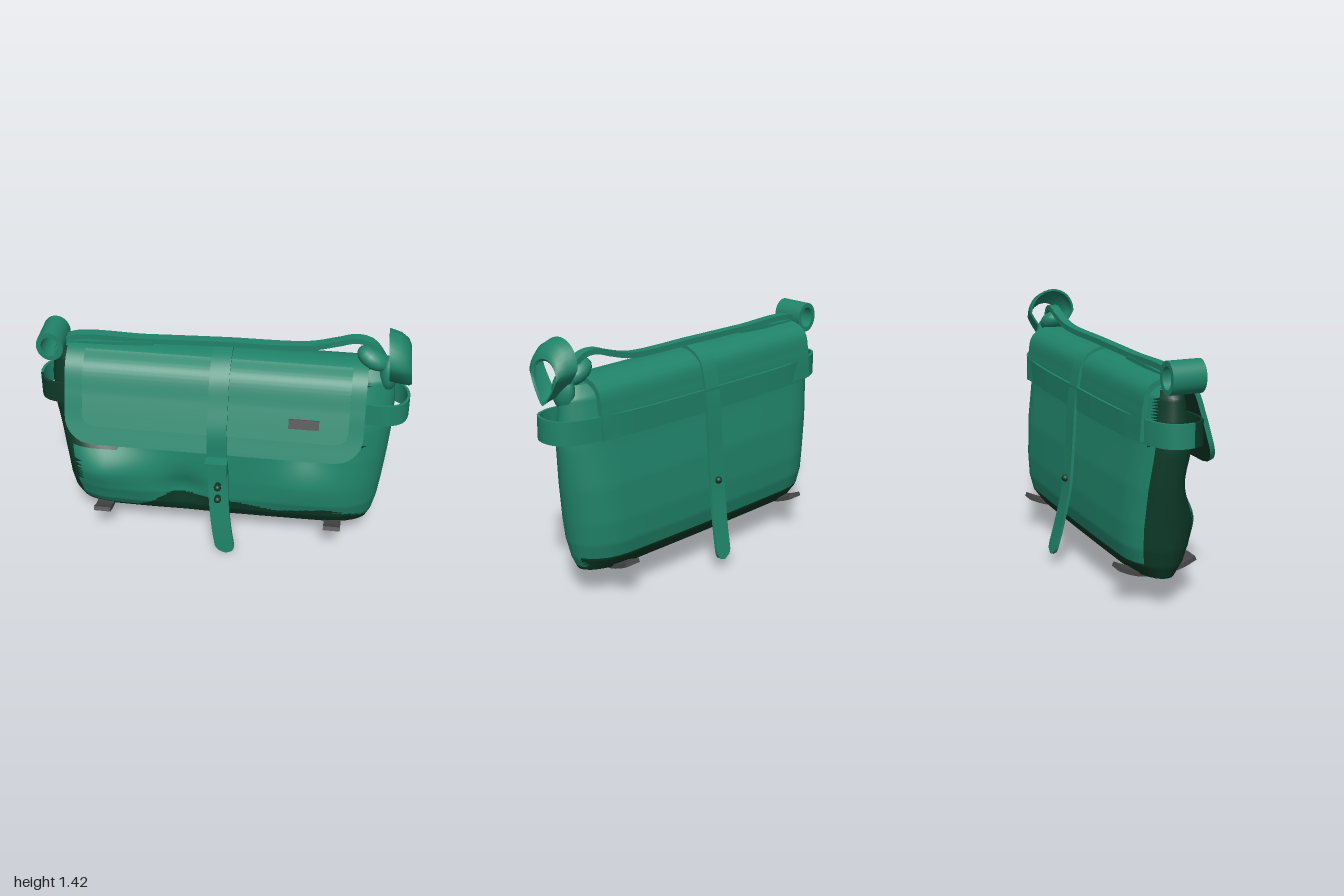
import * as THREE from 'three';
import { toCreasedNormals } from 'three/addons/utils/BufferGeometryUtils.js';

const green = new THREE.MeshStandardMaterial({ color: 0x20846a, side: THREE.DoubleSide });
green.name = 'green canvas';
const dark = new THREE.MeshStandardMaterial({ color: 0x0d3a29, side: THREE.DoubleSide });
dark.name = 'dark green canvas';
const grey = new THREE.MeshStandardMaterial({ color: 0x484848, side: THREE.DoubleSide });
grey.name = 'dark grey trim';

const V = (x, y, z) => new THREE.Vector3(x, y, z);

// Skin a list of equal-length rings (counterclockwise about the path)
function loft(rings, { caps = true, crease = 0.7 } = {}) {
  const n = rings[0].length, pos = [], idx = [];
  rings.forEach(r => r.forEach(p => pos.push(p.x, p.y, p.z)));
  for (let i = 0; i < rings.length - 1; i++) {
    for (let j = 0; j < n; j++) {
      const a = i * n + j, b = i * n + (j + 1) % n;
      idx.push(a, b, b + n, a, b + n, a + n);
    }
  }
  if (caps) {
    [0, rings.length - 1].forEach((r, end) => {
      const c = rings[r].reduce((s, p) => s.add(p), V(0, 0, 0)).divideScalar(n);
      const k = pos.length / 3;
      pos.push(c.x, c.y, c.z);
      for (let j = 0; j < n; j++) {
        const a = r * n + j, b = r * n + (j + 1) % n;
        if (end) idx.push(k, a, b); else idx.push(k, b, a);
      }
    });
  }
  const g = new THREE.BufferGeometry();
  g.setAttribute('position', new THREE.Float32BufferAttribute(pos, 3));
  g.setIndex(idx);
  return toCreasedNormals(g, crease);
}

// Sort faces into two material groups; isDark(centre, normal) picks the second
function twoTone(geometry, isDark) {
  const p = geometry.attributes.position, lists = [[], []];
  const tri = new THREE.Triangle(), c = V(0, 0, 0), n = V(0, 0, 0);
  for (let i = 0; i < p.count; i += 3) {
    tri.setFromAttributeAndIndices(p, i, i + 1, i + 2);
    tri.getMidpoint(c);
    tri.getNormal(n);
    lists[isDark(c, n) ? 1 : 0].push(i, i + 1, i + 2);
  }
  geometry.setIndex([...lists[0], ...lists[1]]);
  geometry.addGroup(0, lists[0].length, 0);
  geometry.addGroup(lists[0].length, lists[1].length, 1);
  return geometry;
}

// Flat band along a curve; round = corner radius at its far end
function ribbon(points, across, width, thick, { round = 0, closed = false, steps = 60 } = {}) {
  const curve = new THREE.CatmullRomCurve3(points.map(p => V(...p)), closed);
  const length = curve.getLength(), rings = [];
  for (let i = 0; i <= steps; i++) {
    const t = i / steps, p = curve.getPointAt(t);
    const normal = curve.getTangentAt(t).cross(across).normalize();
    const d = (1 - t) * length;
    let h = width / 2;
    if (d < round) h += -round + Math.sqrt(Math.max(0, round ** 2 - (round - d) ** 2));
    h = Math.max(h, 0.006);
    rings.push([[1, 1], [-1, 1], [-1, -1], [1, -1]].map(([w, m]) =>
      p.clone().addScaledVector(across, w * h).addScaledVector(normal, m * thick / 2)));
  }
  return loft(rings);
}

// Height of the dark base along the front, from x, y pairs
const baseLine = [[-1, 0.19], [-0.47, 0.19], [-0.28, 0.33], [0.08, 0.31], [0.32, 0.26], [0.6, 0.3], [0.75, 0.25], [0.83, 0.19], [1, 0.19]];
function baseHeight(x) {
  const i = Math.max(1, baseLine.findIndex(p => p[0] >= x));
  const [x0, y0] = baseLine[i - 1], [x1, y1] = baseLine[i];
  return y0 + (y1 - y0) * (x - x0) / (x1 - x0);
}

// Soft bag body: stadium sections stacked upward, with sagging front
function bodyGeometry() {
  // y, left end, right end, back, front
  const rows = [
    [0.147, -0.76, 0.76, -0.06, 0.06], [0.17, -0.83, 0.82, -0.12, 0.11],
    [0.24, -0.862, 0.85, -0.172, 0.155], [0.33, -0.88, 0.87, -0.193, 0.18],
    [0.45, -0.89, 0.885, -0.196, 0.185], [0.65, -0.915, 0.905, -0.183, 0.178],
    [0.85, -0.94, 0.92, -0.15, 0.16], [1.0, -0.94, 0.92, -0.13, 0.13],
    [1.12, -0.925, 0.91, -0.105, 0.1], [1.18, -0.87, 0.86, -0.06, 0.06],
  ];
  // x, y, radius x, radius y, depth of each crease or bulge
  const dents = [[-0.62, 0.68, 0.28, 0.12, 0.1], [0.48, 0.7, 0.16, 0.15, 0.06],
    [-0.2, 0.36, 0.12, 0.12, 0.045], [-0.72, 0.45, 0.2, 0.1, -0.03], [0.5, 0.45, 0.2, 0.15, -0.015]];
  const rings = [], N = 60, M = 12, e = 0.23, sub = 8;
  const ring = ([y, x0, x1, zb, zf]) => {
    const pts = [];
    const add = (x, s) => {
      const u = x / 0.95;
      let z = (s > 0 ? zf : -zb) * s * (1 - 0.1 * u * u);
      if (s > 0) {
        for (const [cx, cy, rx, ry, d] of dents) {
          z -= s * d * Math.exp(-(((x - cx) / rx) ** 2) - ((y - cy) / ry) ** 2);
        }
      }
      pts.push(V(x, y, z));
    };
    for (let i = 0; i <= M; i++) {
      const a = Math.PI * (i / M - 0.5);
      add(x1 - e + e * Math.cos(a), -Math.sin(a));
    }
    for (let i = 1; i < N; i++) add(x1 - e + (x0 - x1 + 2 * e) * i / N, -1);
    for (let i = 0; i <= M; i++) {
      const a = Math.PI * (i / M + 0.5);
      add(x0 + e + e * Math.cos(a), -Math.sin(a));
    }
    for (let i = 1; i < N; i++) add(x0 + e + (x1 - x0 - 2 * e) * i / N, 1);
    return pts;
  };
  for (let i = 0; i < rows.length - 1; i++) {
    for (let k = 0; k < sub; k++) {
      rings.push(ring(rows[i].map((v, c) => v + (rows[i + 1][c] - v) * k / sub)));
    }
  }
  rings.push(ring(rows[rows.length - 1]));

  // Dark base, left gusset and the hollows under the flap
  return twoTone(loft(rings), (c, n) => {
    const front = c.z > 0.02;
    const base = front ? baseHeight(c.x) : c.z < -0.05 ? 0.25 : 0.19;
    const hollow = front && ((c.y > 0.74 && c.x < 0.76)
      || (c.x < -0.36 && c.y > 0.57 + 0.6 * Math.max(0, c.x + 0.6))
      || c.y > 0.65 + Math.max(0, Math.abs(c.x - 0.49) - 0.05) * 1.5 && c.x < 0.7 && c.x > 0.2);
    return c.y < base || hollow || (c.x < -0.8 && n.x < -0.55) || (c.x < -0.84 && c.y > 0.88);
  });
}

// Flared teardrop loop standing at the right end
function teardropGeometry() {
  const drop = (x, cy, cz, r, tip) => Array.from({ length: 32 }, (_, i) => {
    const a = i / 32 * Math.PI * 2, c = Math.cos(a), s = Math.sin(a);
    return V(x + 0.012 * (1 - c), cy + c * (c < 0 ? cy - tip : r), cz + r * s * (c < 0 ? 1 + 0.55 * c : 1));
  });
  const outer = [drop(0.86, 1.28, 0.045, 0.14, 1.12), drop(0.92, 1.27, 0.045, 0.132, 1.11),
    drop(0.96, 1.255, 0.04, 0.115, 1.1), drop(0.976, 1.235, 0.028, 0.098, 1.1)];
  const inner = [drop(0.968, 1.235, 0.028, 0.086, 1.12), drop(0.915, 1.27, 0.045, 0.12, 1.13),
    drop(0.86, 1.28, 0.045, 0.128, 1.135)];
  return loft([...outer, ...inner, outer[0]], { caps: false });
}

export function createModel() {
  const bag = new THREE.Group();
  bag.name = 'messengerBag';
  const X = V(1, 0, 0), Y = V(0, 1, 0), Z = V(0, 0, 1), both = [green, dark];
  const add = (name, geometry, material = green, at = [0, 0, 0]) => {
    const mesh = new THREE.Mesh(geometry, material);
    mesh.name = name;
    mesh.position.set(...at);
    bag.add(mesh);
    return mesh;
  };

  add('body', bodyGeometry(), both);

  // Flap with dark underside, and the raised panel on it
  const flap = ribbon([[-0.03, 0.9, -0.146], [-0.03, 1.05, -0.134], [-0.03, 1.15, -0.112], [-0.03, 1.192, -0.05],
    [-0.03, 1.192, 0.06], [-0.03, 1.14, 0.135], [-0.03, 1.0, 0.19], [-0.03, 0.85, 0.235], [-0.03, 0.725, 0.28]],
  X, 1.6, 0.028, { round: 0.15, steps: 80 });
  add('flap', twoTone(flap, (c, n) => c.z > 0.1 && n.z < -0.2), both);
  add('flapPanel', ribbon([[-0.02, 1.195, 0.07], [-0.02, 1.145, 0.152], [-0.02, 1.0, 0.214], [-0.02, 0.845, 0.275]],
    X, 1.42, 0.024, { round: 0.07 }));
  const label = add('label', new THREE.BoxGeometry(0.16, 0.052, 0.009), grey, [0.455, 0.943, 0.253]);
  label.rotation.x = -0.36;

  // Belt round the ends and back
  const belt = ribbon([[0.68, 0.965, 0.13], [0.88, 0.965, 0.148], [0.965, 0.965, 0.11], [0.992, 0.965, 0.02],
    [0.96, 0.965, -0.065], [0.87, 0.965, -0.115], [0.7, 0.965, -0.148], [0.5, 0.96, -0.162], [0, 0.955, -0.167],
    [-0.5, 0.95, -0.162], [-0.7, 0.95, -0.15], [-0.88, 0.95, -0.115], [-0.97, 0.95, -0.06], [-0.992, 0.95, 0.03],
    [-0.96, 0.95, 0.11], [-0.85, 0.95, 0.14], [-0.68, 0.95, 0.12]], Y, 0.125, 0.014, { steps: 100 });
  add('belt', twoTone(belt, c => c.x < -0.6 && c.z > 0.05), both);

  // Centre strap over the top and down the back
  const strap = ribbon([[0, 0.72, 0.294], [0, 0.85, 0.288], [0, 1.0, 0.232], [0, 1.14, 0.17], [0, 1.21, 0.08],
    [0, 1.222, -0.03], [0, 1.17, -0.12], [0, 1.05, -0.157], [0, 0.9, -0.178], [0, 0.65, -0.195], [0, 0.45, -0.213],
    [0.015, 0.25, -0.25], [0.03, 0.06, -0.295]], X, 0.105, 0.016, { round: 0.052, steps: 90 });
  add('centreStrap', twoTone(strap, (c, n) => c.z < -0.15 && n.z > 0.5), both);

  // Front tongue with dark back, buckle and studs
  const tongue = ribbon([[0, 0.66, 0.24], [0, 0.5, 0.23], [0.005, 0.35, 0.238], [0.02, 0.18, 0.25],
    [0.045, 0.003, 0.255]], X, 0.11, 0.018, { round: 0.055 });
  add('frontTongue', twoTone(tongue, (c, n) => n.z < -0.5), both);
  add('buckle', new THREE.BoxGeometry(0.12, 0.09, 0.06), green, [-0.005, 0.617, 0.266]);
  const stud = new THREE.SphereGeometry(0.02, 16, 10);
  for (const [y, z] of [[0.48, 0.268], [0.395, 0.268], [0.5, -0.222]]) {
    add('stud', stud, dark, [0, y, z]);
    const post = add('studPost', new THREE.CylinderGeometry(0.016, 0.016, 0.04, 12), dark, [0, y, z - Math.sign(z) * 0.018]);
    post.rotation.x = Math.PI / 2;
  }

  // Carrying strap along the top, with its lower layer, knot and tail
  add('carryStrap', ribbon([[-0.9, 1.16, 0.03], [-0.83, 1.23, 0.01], [-0.4, 1.243, 0], [0, 1.252, -0.01],
    [0.45, 1.262, -0.015], [0.6, 1.3, -0.015], [0.7, 1.33, -0.01], [0.78, 1.315, 0], [0.84, 1.24, 0.01],
    [0.89, 1.13, 0.02]], Z, 0.05, 0.03));
  add('strapUnderlay', ribbon([[-0.83, 1.21, 0.01], [-0.6, 1.22, 0.005], [-0.38, 1.232, 0]], Z, 0.06, 0.02, { steps: 12 }));
  const knot = add('strapKnot', new THREE.SphereGeometry(1, 16, 12), green, [0.79, 1.235, 0.015]);
  knot.scale.set(0.095, 0.055, 0.07);
  knot.rotation.z = -0.5;
  add('knotTail', new THREE.SphereGeometry(1, 16, 12), green, [0.875, 1.15, 0.015]).scale.set(0.05, 0.1, 0.07);

  // End loops
  add('rightLoop', teardropGeometry());
  const circle = Array.from({ length: 10 }, (_, i) => {
    const a = i / 10 * Math.PI * 2;
    return [-0.915 + 0.06 * Math.cos(a), 1.225 + 0.072 * Math.sin(a), 0.03];
  });
  add('leftLoop', ribbon(circle, Z, 0.18, 0.026, { closed: true, steps: 32 }));

  // Curved feet, sunk into the base at the middle
  for (const x of [-0.67, 0.635]) {
    add('foot', ribbon([[x, 0.212, 0.22], [x, 0.185, 0.16], [x, 0.165, 0.08], [x, 0.168, 0],
      [x, 0.165, -0.08], [x, 0.185, -0.15], [x, 0.212, -0.21]], X, 0.095, 0.024, { steps: 24 }), grey);
  }
  return bag;
}
